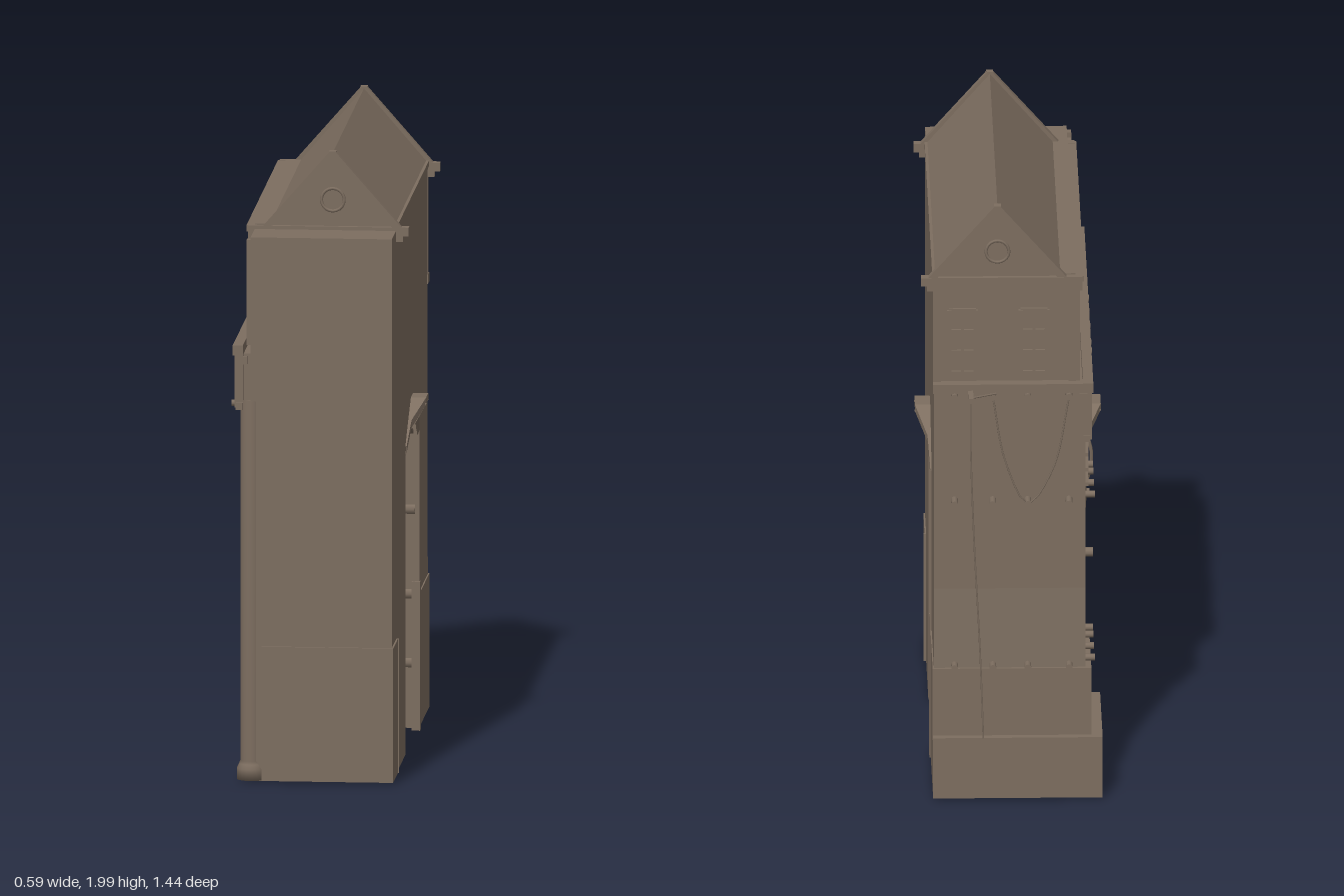
import * as THREE from 'three';

export function createModel() {
  const model = new THREE.Group();
  const mat = new THREE.MeshStandardMaterial({ color: 0x7d6e60, side: THREE.DoubleSide });
  mat.name = 'weathered brown';

  const add = (name, geo, x = 0, y = 0, z = 0) => {
    const m = new THREE.Mesh(geo, mat);
    m.name = name;
    m.position.set(x, y, z);
    model.add(m);
    return m;
  };
  // box given by its limits
  const block = (name, x0, x1, y0, y1, z0, z1) =>
    add(name, new THREE.BoxGeometry(x1 - x0, y1 - y0, z1 - z0), (x0 + x1) / 2, (y0 + y1) / 2, (z0 + z1) / 2);
  // square timber or round log between two points
  const beam = (name, a, b, w = 0.025, d = w, round = false) => {
    const p = new THREE.Vector3(...a), q = new THREE.Vector3(...b), len = p.distanceTo(q);
    const geo = round ? new THREE.CylinderGeometry(w / 2, w / 2, len, 10) : new THREE.BoxGeometry(w, len, d);
    const m = add(name, geo);
    m.position.copy(p).add(q).multiplyScalar(0.5);
    m.quaternion.setFromUnitVectors(new THREE.Vector3(0, 1, 0), q.sub(p).normalize());
    return m;
  };
  // outline in (z, y) extruded from x0 to x1
  const slab = (name, pts, x0, x1) => {
    const shape = new THREE.Shape(pts.map(([z, y]) => new THREE.Vector2(-z, y)));
    const geo = new THREE.ExtrudeGeometry(shape, { depth: x1 - x0, bevelEnabled: false });
    return add(name, geo.rotateY(Math.PI / 2), x0, 0, 0);
  };
  const rope = (name, pts, r = 0.004) => add(name, new THREE.TubeGeometry(
    new THREE.CatmullRomCurve3(pts.map(p => new THREE.Vector3(...p))), 20, r, 5));

  // main walls with the passage cut through
  slab('houseWalls', [[0.71, 0.01], [0.71, 1.745], [0.545, 1.745], [0.545, 1.76], [-0.61, 1.76], [-0.61, 0.7],
    [-0.63, 0.4], [-0.635, 0.01], [-0.28, 0.01], [-0.28, 0.97], [-0.08, 1.08], [0, 1.08], [0.205, 0.97], [0.205, 0.01]], -0.2, 0.245);
  slab('sideCladding', [[-0.61, 1.37], [0.69, 1.37], [0.69, 1.2], [0.1, 1.17], [0, 1.11], [-0.08, 1.11],
    [-0.28, 0.99], [-0.28, 0.02], [-0.63, 0.02], [-0.63, 0.4], [-0.61, 0.7]], -0.232, -0.2);

  // plinths and thin base facings
  block('backPlinth', -0.285, 0.248, 0.012, 0.215, -0.66, -0.27);
  block('plinthFacing', -0.25, 0.249, 0.2, 0.44, -0.637, -0.3);
  block('frontBaseFacing', -0.165, 0.25, 0.012, 0.44, 0.54, 0.718);
  block('sideBaseFacing', -0.206, -0.19, 0.012, 0.44, 0.21, 0.65);
  block('baseTrim', 0.245, 0.253, 0.012, 0.44, 0.535, 0.545);
  block('passageTrim', 0.225, 0.252, 0.005, 0.48, -0.284, -0.255);
  block('passageTrim', 0.225, 0.25, 0.48, 0.97, -0.284, -0.268);

  // roof prism, gable boards, eaves shelf
  const gable = new THREE.Shape([new THREE.Vector2(-0.157, 1.755), new THREE.Vector2(0.247, 1.755), new THREE.Vector2(0.045, 1.99)]);
  add('roof', new THREE.ExtrudeGeometry(gable, { depth: 1.165, bevelEnabled: false }), 0, 0, -0.62);
  block('eavesShelf', -0.227, -0.15, 1.735, 1.755, -0.62, 0.55);
  block('eavesTrim', 0.24, 0.25, 1.745, 1.762, -0.62, 0.545);
  for (const [z, s] of [[0.545, 1], [-0.62, -1]]) {
    for (const x of [-0.17, 0.26]) beam('gableBoard', [x, 1.742, z], [0.045, 1.988, z], 0.022);
    beam('gableTie', [-0.222, 1.742, z], [0.285, 1.742, z], 0.028);
    for (const x of [-0.21, 0.255]) block('eavesBracket', x - 0.012, x + 0.012, 1.71, 1.755, z - 0.012, z + 0.012);
    add('gableRing', new THREE.TorusGeometry(0.036, 0.005, 6, 20), 0.045, 1.84, z + s * 0.002);
    beam('ridgeEnd', [0.045, 1.985, z - 0.012], [0.045, 1.985, z + 0.012], 0.022);
  }

  // round columns on both passage walls and the front corner
  for (const [x, z, h] of [[0.02, 0.172, 1.04], [0.02, -0.243, 1.02], [-0.2, 0.68, 1.21]]) {
    const r = 0.035;
    const p = [[0, 0], [r + 0.011, 0], [r + 0.011, 0.035], [r + 0.004, 0.05], [r, 0.06], [r, h], [0, h]];
    add('column', new THREE.LatheGeometry(p.map(q => new THREE.Vector2(...q)), 20), x, 0.012, z);
  }

  // logs, boards and rafters inside the passage
  for (const z of [0.203, -0.278]) {
    for (const y of [0.22, 0.44, 0.71]) beam('passageLog', [-0.215, y, z], [0.235, y, z], 0.04, 0.04, true);
    for (const x of [-0.19, 0.22]) block('passagePost', x - 0.015, x + 0.015, 0.012, 0.98, z - 0.012, z + 0.012);
  }
  for (let i = 0; i < 7; i++) {
    const x = -0.2 + i * 0.07;
    beam('rafter', [x, 0.96, 0.195], [x, 1.07, 0], 0.02);
    beam('rafter', [x, 0.96, -0.27], [x, 1.07, -0.08], 0.02);
  }
  for (const z of [0.19, -0.265]) beam('rafterPlate', [-0.21, 0.98, z], [0.24, 0.98, z], 0.025);

  // pointed hoods over both mouths of the passage
  for (const [xw, xo] of [[0.243, 0.287], [-0.228, -0.285]]) {
    const top = [[0.205, 0.995, 0], [0.1, 1.06, 0.15], [0, 1.115, 1], [-0.08, 1.115, 1], [-0.18, 1.05, 0.15], [-0.283, 0.975, 0]];
    const v = [], idx = [];
    for (const [z, y, t] of top) {
      const x = xw + (xo - xw) * t + Math.sign(xw) * 0.006;
      v.push(xw, y, z, x, y, z, x, y - 0.022, z, xw, y - 0.04 - 0.03 * t, z);
    }
    for (let i = 0; i < 5; i++) for (let j = 0; j < 4; j++) {
      const a = i * 4 + j, b = i * 4 + (j + 1) % 4;
      idx.push(a, a + 4, b, b, a + 4, b + 4);
    }
    const indexed = new THREE.BufferGeometry();
    indexed.setAttribute('position', new THREE.Float32BufferAttribute(v, 3));
    indexed.setIndex(xw > 0 ? idx : idx.reverse());
    const geo = indexed.toNonIndexed();
    geo.computeVertexNormals();
    add('archHood', geo);
    for (const z of [0, -0.08]) beam('hoodBracket', [xw, 1.02, z], [xo, 1.1, z], 0.016);
  }

  // timber frame on the left-hand long wall
  const X = -0.236;
  beam('floorBeam', [-0.24, 1.385, -0.645], [-0.24, 1.385, 0.718], 0.032);
  beam('floorBeam', [-0.225, 1.35, -0.63], [-0.225, 1.35, 0.7], 0.025);
  beam('lowerRail', [X, 1.205, -0.62], [X, 1.205, 0.715], 0.022);
  for (const z of [-0.6, -0.3, 0.03, 0.3, 0.5, 0.69]) block('bandPost', -0.252, -0.225, 1.2, 1.38, z - 0.014, z + 0.014);
  for (const [a, b] of [[-0.28, 0.02], [0.28, 0.05], [0.32, 0.48], [0.67, 0.52]])
    beam('bandBrace', [X, 1.22, a], [X, 1.36, b], 0.022);
  for (let i = 0; i < 6; i++) beam('slat', [X, 1.04 + i * 0.05, -0.59], [X, 1.04 + i * 0.05, -0.31], 0.012);
  beam('archBrace', [X, 1.0, -0.3], [X, 1.2, -0.12], 0.024);
  beam('archBrace', [-0.21, 1.0, 0.23], [-0.225, 1.2, 0.04], 0.024);
  for (const z of [-0.6, -0.25, -0.12, 0.1, 0.28, 0.5, 0.69]) block('upperPost', -0.214, -0.19, 1.4, 1.735, z - 0.014, z + 0.014);
  for (const [a, b] of [[0.12, 0.26], [0.48, 0.3], [0.52, 0.67]]) beam('upperBrace', [-0.203, 1.42, a], [-0.203, 1.72, b], 0.02);
  for (let i = 0; i < 5; i++) beam('looseBoard', [-0.205, 1.41, -0.09 + i * 0.04], [-0.205, 1.73, -0.1 + i * 0.045], 0.014);
  for (const z of [-0.49, -0.37]) {
    for (const s of [-1, 1]) {
      beam('sideWindowFrame', [-0.203, 1.45, z + s * 0.04], [-0.203, 1.6, z + s * 0.04], 0.012);
      beam('sideWindowArch', [-0.203, 1.6, z + s * 0.04], [-0.203, 1.67, z], 0.012);
    }
    beam('sideWindowMullion', [-0.203, 1.45, z], [-0.203, 1.66, z], 0.008);
    for (const y of [1.45, 1.53, 1.6]) beam('sideWindowBar', [-0.203, y, z - 0.04], [-0.203, y, z + 0.04], 0.01);
  }

  // back wall: corner posts, ledges and paned windows
  for (const x of [-0.19, 0.235]) block('backPost', x - 0.012, x + 0.012, 1.4, 1.74, -0.62, -0.6);
  block('backLedge', -0.25, 0.248, 1.37, 1.4, -0.645, -0.6);
  for (const x of [0.155, -0.07]) {
    for (const dx of [-0.042, 0, 0.042]) beam('backWindowUpright', [x + dx, 1.43, -0.613], [x + dx, 1.64, -0.613], dx ? 0.014 : 0.009);
    for (const y of [1.43, 1.5, 1.57, 1.64]) beam('backWindowBar', [x - 0.042, y, -0.613], [x + 0.042, y, -0.613], 0.01);
  }

  // projecting log ends
  for (const [y, z] of [[1.36, -0.655], [1.0, -0.655], [0.45, -0.66]])
    for (const x of [-0.18, -0.05, 0.06, 0.18]) beam('backLogEnd', [x, y, -0.58], [x, y, z], 0.022, 0.022, true);
  for (const y of [0.45, 1.0])
    for (const z of [-0.57, -0.47, -0.37, -0.31]) beam('sideLogEnd', [-0.2, y, z], [-0.262, y, z], 0.022, 0.022, true);
  for (const z of [0.16, 0.23, 0.37, 0.5, 0.62]) beam('sideLogEnd', [-0.2, 1.2, z], [-0.268, 1.2, z], 0.02, 0.02, true);
  for (const z of [0.215, -0.3]) beam('sideLogEnd', [-0.18, 0.7, z], [-0.262, 0.7, z], 0.03, 0.03, true);

  // hoist pole and ropes on the back
  beam('hoistPole', [0.13, 1.372, -0.6], [0.13, 1.372, -0.718], 0.016);
  rope('hoistStay', [[0.05, 1.372, -0.65], [0.09, 1.372, -0.67], [0.13, 1.372, -0.69]], 0.003);
  rope('hoistRope', [[0.13, 1.37, -0.7], [0.13, 1.2, -0.7], [0.12, 0.9, -0.683], [0.1, 0.5, -0.67], [0.09, 0.215, -0.662]], 0.003);
  rope('backSwag', [[0.06, 1.36, -0.65], [0.02, 1.14, -0.65], [-0.05, 1.0, -0.65], [-0.13, 1.12, -0.65], [-0.18, 1.36, -0.65]], 0.003);

  // garlands hanging in the passage
  for (const [x, z0, z1, y0, low] of [[-0.24, 0.15, -0.21, 0.91, 0.755], [-0.22, 0.14, -0.2, 1.01, 0.88], [-0.23, 0.02, -0.11, 1.07, 0.975]]) {
    const pts = [];
    for (let i = 0; i <= 8; i++) {
      const t = i / 4 - 1;
      pts.push([x, low + (y0 - low) * t * t, (z0 + z1) / 2 + (z1 - z0) / 2 * t]);
    }
    rope('garland', pts, 0.005);
  }
  rope('hangingRope', [[-0.2, 0.88, -0.085], [-0.1, 0.75, -0.06], [0, 0.5, 0.04], [0.02, 0.35, 0.14]]);
  rope('hangingRope', [[-0.24, 0.98, -0.04], [-0.2, 0.76, -0.05], [-0.1, 0.58, -0.11], [0, 0.46, -0.21]]);
  rope('hangingRope', [[-0.21, 1.03, 0.11], [-0.265, 0.88, 0.105], [-0.24, 0.74, 0.125], [-0.2, 0.65, 0.145]], 0.006);

  return model;
}
